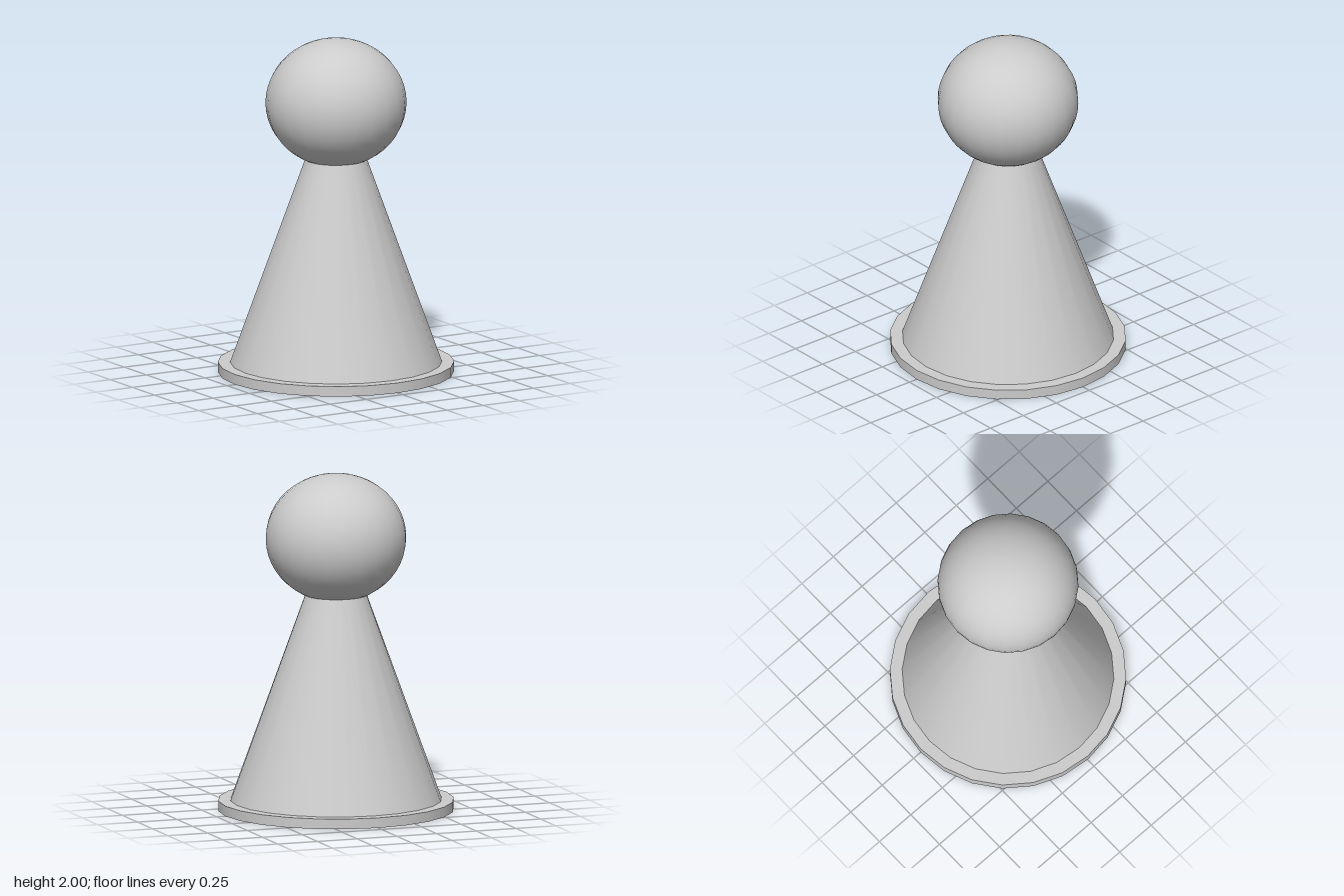
import * as THREE from 'three';

export function createModel() {
  const group = new THREE.Group();
  const material = new THREE.MeshStandardMaterial({ color: 0xcccccc });
  const SIDES = 24;

  const add = (name, geometry, y) => {
    const mesh = new THREE.Mesh(geometry, material);
    mesh.name = name;
    mesh.position.y = y;
    group.add(mesh);
    return mesh;
  };

  // Thin round foot
  const baseHeight = 0.06;
  add('base', new THREE.CylinderGeometry(0.695, 0.695, baseHeight, SIDES), baseHeight / 2);

  // Tapered body, its top tucked slightly into the head
  const bodyTop = 1.29;
  const bodyHeight = bodyTop - baseHeight;
  add('body', new THREE.CylinderGeometry(0.178, 0.623, bodyHeight, SIDES), baseHeight + bodyHeight / 2);

  // Slightly flattened ball head
  const head = add('head', new THREE.SphereGeometry(1, SIDES, 24), 1.62);
  head.scale.set(0.415, 0.38, 0.415);

  return group;
}
